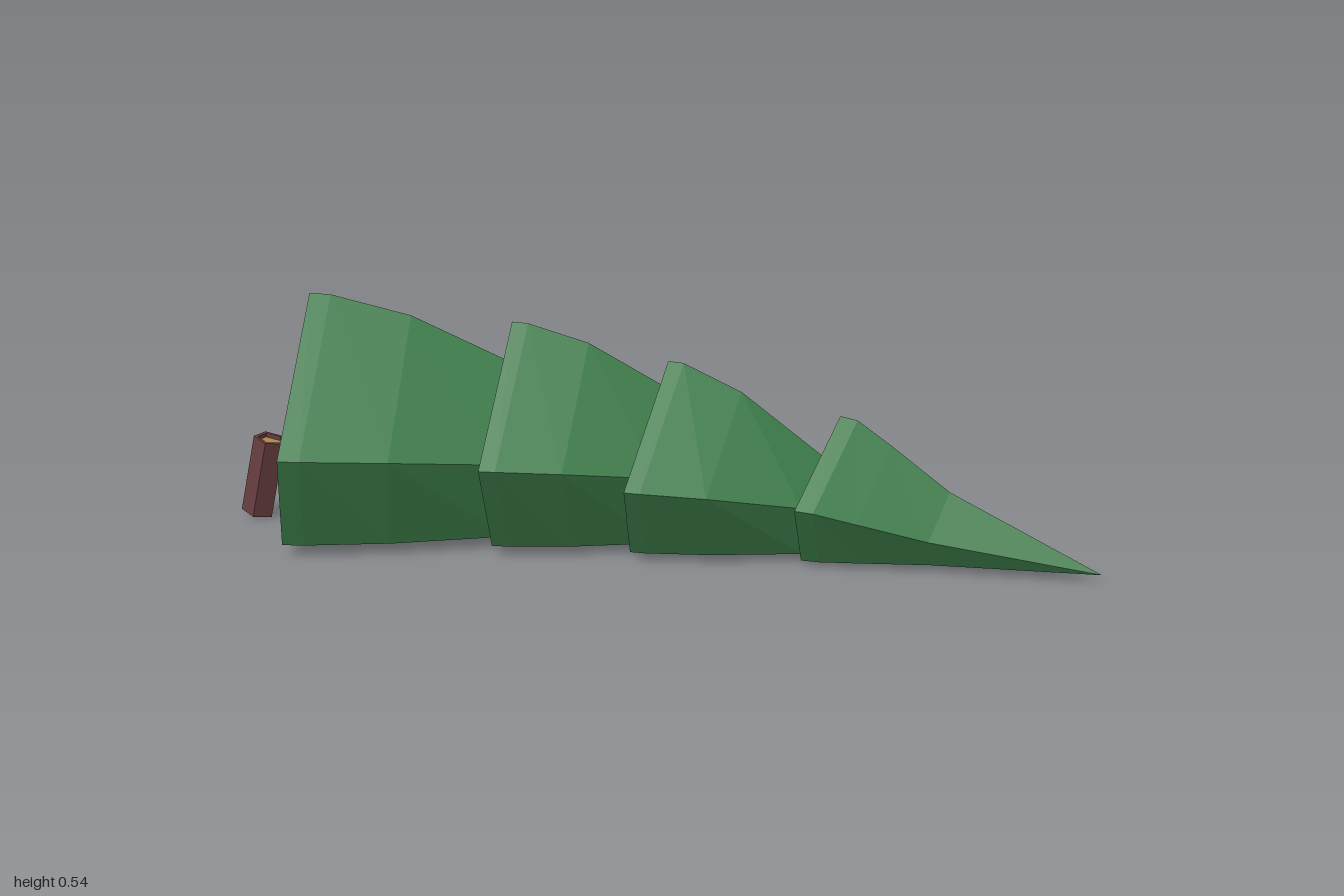
import * as THREE from 'three';

const leaf = new THREE.MeshStandardMaterial({ color: 0x3b7a48, flatShading: true });
const bark = new THREE.MeshStandardMaterial({ color: 0x683e40, flatShading: true });
const wood = new THREE.MeshStandardMaterial({ color: 0xb08850, flatShading: true });

// Bulging taper of a lower tier: [distance along the tier, scale], running on into the next tier
const taper = (mid, last) => [[0, 1], [0.1, 0.995], [0.48, mid], [1, last], [1.25, last - 0.14]];

// Base corners: ridge, back, back foot, front foot, front.
// drop and spread: how fast side corners sink and move inwards as the scale shrinks
const tiers = [
  { start: [-0.82, 0], end: [-0.33, -0.03], rings: taper(0.91, 0.69), hollow: 0.2, drop: 0.5, spread: 1.5,
    corners: [[-0.82, 0.54, -0.007], [-0.83, 0.237, -0.38], [-0.845, 0.02, -0.265], [-0.81, 0.027, 0.29], [-0.785, 0.247, 0.38]] },
  { start: [-0.35, -0.01], end: [0.02, -0.01], rings: taper(0.91, 0.69), hollow: 0.12, drop: 0.5, spread: 1.4,
    corners: [[-0.345, 0.49, -0.01], [-0.345, 0.222, -0.338], [-0.35, 0.02, -0.235], [-0.35, 0.022, 0.2], [-0.35, 0.228, 0.315]] },
  { start: [0, -0.01], end: [0.36, 0.035], rings: taper(0.85, 0.52), hollow: 0.1, drop: 0.5, spread: 1.05,
    corners: [[0.015, 0.413, -0.01], [0.04, 0.185, -0.306], [0, 0.018, -0.185], [-0.038, 0.02, 0.185], [-0.033, 0.187, 0.285]] },
  { start: [0.38, 0.03], end: [1, 0.17], hollow: 0.08, drop: 1.1, spread: 1,
    rings: [[0, 1], [0.065, 0.98], [0.2, 0.81], [0.43, 0.5], [1, 0]],
    corners: [[0.41, 0.312, 0.025], [0.44, 0.155, -0.18], [0.38, 0.016, -0.1], [0.342, 0.013, 0.158], [0.335, 0.15, 0.237]] },
];

const GROUND = 0.02;

// Five-sided tier lying on the ground, with a base hollowed to a point
function tierGeometry({ start, end, rings, corners, hollow, drop, spread }) {
  const lerp = THREE.MathUtils.lerp;
  const loops = rings.map(([t, s]) => corners.map(([x, y, z], j) => [
    lerp(start[0], end[0], t) + (x - start[0]) * s,
    GROUND + (y - GROUND) * (j === 0 ? s : s ** drop),
    lerp(start[1], end[1], t) + (z - start[1]) * s ** spread,
  ]));
  const apex = [start[0] + hollow, corners[0][1] * 0.34, start[1]];
  const points = [];
  for (let j = 0; j < 5; j++) {
    const k = (j + 1) % 5;
    points.push(...apex, ...loops[0][j], ...loops[0][k]);
    for (let i = 0; i < loops.length - 1; i++) {
      const a = loops[i], b = loops[i + 1];
      points.push(...a[j], ...b[j], ...a[k], ...a[k], ...b[j], ...b[k]);
    }
  }
  const geometry = new THREE.BufferGeometry();
  geometry.setAttribute('position', new THREE.Float32BufferAttribute(points, 3));
  geometry.computeVertexNormals();
  return geometry;
}

// Five-sided log between two points: a bark rim around slightly sunken wood
function log(name, from, to, radius, endMaterial) {
  const a = new THREE.Vector3(...from);
  const axis = new THREE.Vector3(...to).sub(a);
  const h = axis.length(), inner = radius * 0.76, sunk = h - 0.015;
  const profile = [[0, 0], [radius, 0], [radius, h], [inner, h], [inner, sunk]]
    .map(([x, y]) => new THREE.Vector2(x, y));
  const shell = new THREE.Mesh(new THREE.LatheGeometry(profile, 5), bark);
  shell.name = `${name}Bark`;
  const core = new THREE.Mesh(new THREE.CylinderGeometry(inner, inner, 0.01, 5), endMaterial);
  core.position.y = sunk;
  core.name = `${name}Core`;

  const group = new THREE.Group();
  group.add(shell, core);
  group.position.copy(a);
  group.quaternion.setFromUnitVectors(new THREE.Vector3(0, 1, 0), axis.normalize());
  group.name = name;
  return group;
}

export function createModel() {
  const group = new THREE.Group();
  group.name = 'felledTree';

  // Foliage tiers from the wide base to the tip
  tiers.forEach((tier, i) => {
    const mesh = new THREE.Mesh(tierGeometry(tier), leaf);
    mesh.name = `foliageTier${i + 1}`;
    group.add(mesh);
  });

  // Broken trunk end inside the hollow base, and the stump left standing
  group.add(log('brokenTrunk', [-0.5, 0.18, 0], [-0.7, 0.175, 0], 0.037, bark));
  group.add(log('stump', [-0.963, 0.01, -0.004], [-0.922, 0.193, 0.008], 0.039, wood));
  return group;
}
